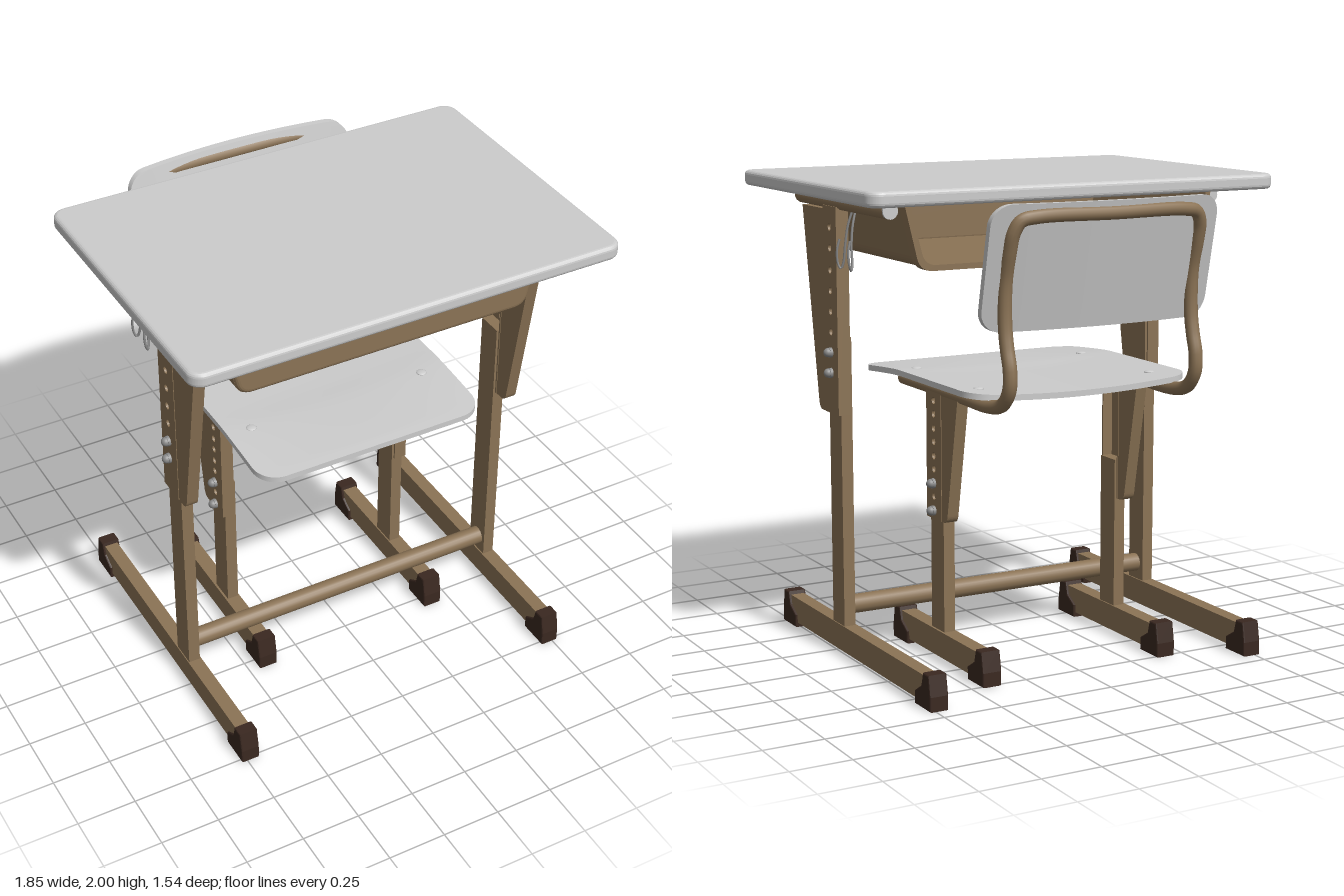
import * as THREE from 'three';

const mat = (color, side = THREE.FrontSide) => new THREE.MeshStandardMaterial({ color, side });
const GREY = mat(0xcccccc), TAN = mat(0x8b7355), DARK = mat(0x3a2820), STEEL = mat(0x8c8c8c);
const V = (x, y, z) => new THREE.Vector3(x, y, z);

export function createModel() {
  const model = new THREE.Group();

  function add(parent, name, geo, material, x = 0, y = 0, z = 0) {
    const m = new THREE.Mesh(geo, material);
    m.name = name;
    m.position.set(x, y, z);
    parent.add(m);
    return m;
  }
  function group(name) {
    const g = new THREE.Group();
    g.name = name;
    model.add(g);
    return g;
  }
  const shapeOf = pts => new THREE.Shape(pts.map(p => new THREE.Vector2(p[0], p[1])));

  // Extrudes a (z, y) outline across x, centred on x = 0
  function sideExtrude(shape, width, bevel = 0) {
    const g = new THREE.ExtrudeGeometry(shape, {
      depth: width - 2 * bevel, bevelEnabled: bevel > 0, bevelSize: bevel, bevelOffset: -bevel,
      bevelThickness: bevel, bevelSegments: 2, curveSegments: 10
    });
    return g.translate(0, 0, bevel - width / 2).rotateY(-Math.PI / 2).translate(0, 0, 0);
  }

  // Path with rounded corners through points
  function roundedPath(pts, r) {
    const path = new THREE.CurvePath();
    let last = pts[0];
    for (let i = 1; i < pts.length - 1; i++) {
      const a = pts[i].clone().add(pts[i - 1].clone().sub(pts[i]).setLength(r));
      const b = pts[i].clone().add(pts[i + 1].clone().sub(pts[i]).setLength(r));
      path.add(new THREE.LineCurve3(last, a));
      path.add(new THREE.QuadraticBezierCurve3(a, pts[i], b));
      last = b;
    }
    path.add(new THREE.LineCurve3(last, pts[pts.length - 1]));
    return path;
  }

  // Round-cornered slab whose vertices are laid onto a curved surface by place(x, t, v)
  function bentSlab(a, b, t, r, place) {
    const g = new THREE.BoxGeometry(2 * a, t, 2 * b, 24, 1, 36);
    const p = g.attributes.position;
    for (let i = 0; i < p.count; i++) {
      const v = b * Math.sin(Math.PI / 2 * p.getZ(i) / b);
      const d = Math.max(0, Math.abs(v) - b + r);
      const w = a - r + Math.sqrt(Math.max(0, r * r - d * d));
      p.setXYZ(i, ...place(p.getX(i) * w / a, p.getY(i), v));
    }
    g.computeVertexNormals();
    return g;
  }

  // Floor beam with a stepped rubber cap at each end
  function foot(parent, x, zFront, zBack, width) {
    add(parent, 'footBeam', new THREE.BoxGeometry(width - 0.02, 0.11, zFront - zBack - 0.06), TAN, x, 0.075, (zFront + zBack) / 2);
    const cap = [[0, 0], [0, 0.06], [0.015, 0.145], [0.065, 0.145], [0.08, 0.09], [0.137, 0.055], [0.137, 0]];
    for (const [z, d] of [[zFront, -1], [zBack, 1]])
      add(parent, 'footCap', sideExtrude(shapeOf(cap.map(([u, y]) => [z + d * u, y])), width, 0.006), DARK, x);
  }

  // Telescopic leg: inner post, perforated channel open to the inside, gusset and bolts
  function leg(parent, s, o) {
    const { x, z, y0, y1, postTop } = o, w = 0.13, depth = 0.055;
    add(parent, 'innerPost', new THREE.BoxGeometry(0.05, postTop - 0.12, 0.113), TAN, s * (x - 0.012), (postTop + 0.12) / 2, z);
    const plate = shapeOf([[z - w / 2, y0], [z + w / 2, y0], [z + w / 2, y1], [z - w / 2, y1]]);
    for (const y of o.holes) {
      const hole = new THREE.Path();
      hole.absarc(z, y, 0.015, 0, Math.PI * 2, true);
      plate.holes.push(hole);
    }
    add(parent, 'channelPlate', sideExtrude(plate, 0.01), TAN, s * (x + depth / 2 - 0.005));
    for (const d of [-1, 1])
      add(parent, 'channelFlange', new THREE.BoxGeometry(depth, y1 - y0, 0.008), TAN, s * x, (y0 + y1) / 2, z + d * (w / 2 - 0.004));
    // tapered gusset with a rounded lower corner
    const e = z + o.dir * w / 2, f = o.dir;
    const g = new THREE.Shape();
    g.moveTo(e, o.gTop);
    g.lineTo(e + f * o.gWide, o.gTop);
    g.lineTo(e + f * (o.gNarrow + 0.006), y0 + 0.035);
    g.quadraticCurveTo(e + f * o.gNarrow, y0, e + f * (o.gNarrow - 0.03), y0);
    g.lineTo(e, y0);
    add(parent, 'gusset', sideExtrude(g, 0.05), TAN, s * x);
    for (const y of o.bolts) {
      add(parent, 'boltWasher', new THREE.CylinderGeometry(0.021, 0.021, 0.012, 16).rotateZ(Math.PI / 2), STEEL, s * (x + depth / 2 + 0.006), y, z);
      add(parent, 'boltDome', new THREE.SphereGeometry(0.019, 16, 12), STEEL, s * (x + depth / 2 + 0.015), y, z);
    }
  }

  // ---- Desk ----
  const desk = group('desk');
  const hx = 0.925, z0 = -0.52, z1 = 0.77, r = 0.06, bv = 0.018;
  const top = new THREE.Shape();
  const corners = [[hx - r, z0 + r, -Math.PI / 2], [hx - r, z1 - r, 0], [-hx + r, z1 - r, Math.PI / 2], [-hx + r, z0 + r, Math.PI]];
  for (const [cx, cz, a] of corners) top.absarc(cx, -cz, r, -a, -a - Math.PI / 2, true);
  const topGeo = new THREE.ExtrudeGeometry(top, {
    depth: 0.063 - 2 * bv, bevelSize: bv, bevelOffset: -bv, bevelThickness: bv, bevelSegments: 4, curveSegments: 8
  }).rotateX(-Math.PI / 2);
  add(desk, 'tabletop', topGeo, GREY, 0, 1.937 + bv, 0);

  const rim = roundedPath([V(-0.742, 1.904, -0.3), V(-0.742, 1.904, 0.602), V(0.742, 1.904, 0.602), V(0.742, 1.904, -0.3)], 0.09);
  add(desk, 'supportTube', new THREE.TubeGeometry(rim, 160, 0.034, 14), TAN);

  // Book tray, open toward the seat
  const trayOutline = (top, bottom, y, rr) => {
    const s = new THREE.Shape();
    s.moveTo(-top, 1.935);
    s.lineTo(-bottom - 0.012, y + rr);
    s.quadraticCurveTo(-bottom, y, -bottom + rr, y);
    s.lineTo(bottom - rr, y);
    s.quadraticCurveTo(bottom, y, bottom + 0.012, y + rr);
    s.lineTo(top, 1.935);
    return s;
  };
  const trayShell = grow => {
    const s = trayOutline(0.7 + grow, 0.637 + grow, 1.677 - grow, 0.06);
    const inner = trayOutline(0.685, 0.622, 1.692, 0.05).getPoints(8).reverse();
    inner.forEach(p => s.lineTo(p.x, p.y));
    return s;
  };
  const flat = depth => ({ depth, bevelEnabled: false, curveSegments: 8 });
  add(desk, 'trayShell', new THREE.ExtrudeGeometry(trayShell(0), flat(0.85)), TAN, 0, 0, -0.31);
  add(desk, 'trayBackRim', new THREE.ExtrudeGeometry(trayShell(0.008), flat(0.05)), TAN, 0, 0, -0.36);
  add(desk, 'trayFrontWall', new THREE.ExtrudeGeometry(trayOutline(0.7, 0.637, 1.677, 0.06), {
    depth: 0.015, bevelSize: 0.02, bevelOffset: -0.02, bevelThickness: 0.02, bevelSegments: 4, curveSegments: 8
  }), TAN, 0, 0, 0.52);

  add(desk, 'crossBar', new THREE.CylinderGeometry(0.04, 0.04, 1.42, 20).rotateZ(Math.PI / 2), TAN, 0, 0.205, 0.2);

  for (const s of [-1, 1]) {
    foot(desk, s * 0.735, 0.768, -0.68, 0.08);
    leg(desk, s, {
      x: 0.748, z: 0.197, y0: 1.03, y1: 1.885, postTop: 1.35, dir: 1, gTop: 1.87, gWide: 0.208, gNarrow: 0.065,
      holes: [1.37, 1.455, 1.54, 1.625, 1.715, 1.8], bolts: [1.2, 1.285]
    });
    add(desk, 'tubePlug', new THREE.CylinderGeometry(0.033, 0.033, 0.012, 16).rotateX(Math.PI / 2), GREY, s * 0.742, 1.904, -0.302);
    // Double wire bag hook
    const half = [[0.745, 1.89, 0.012], [0.765, 1.82, 0.022], [0.775, 1.74, 0.03], [0.778, 1.67, 0.042],
      [0.786, 1.645, 0.05], [0.796, 1.665, 0.056], [0.8, 1.72, 0.054], [0.79, 1.765, 0.05]];
    for (const d of [-1, 1]) {
      const curve = new THREE.CatmullRomCurve3(half.map(([x, y, z]) => V(s * x, y, 0.015 + d * z)));
      add(desk, 'bagHook', new THREE.TubeGeometry(curve, 40, 0.005, 6), STEEL);
    }
  }

  // ---- Chair ----
  const chair = group('chair');
  const side = [[0.425, 1.145, 0.24], [0.425, 1.145, 0], [0.425, 1.145, -0.3], [0.425, 1.146, -0.54], [0.425, 1.172, -0.63],
    [0.425, 1.235, -0.68], [0.425, 1.31, -0.684], [0.425, 1.39, -0.662], [0.425, 1.46, -0.648], [0.425, 1.56, -0.643],
    [0.425, 1.66, -0.651], [0.425, 1.77, -0.683], [0.42, 1.84, -0.704], [0.395, 1.886, -0.718], [0.33, 1.9, -0.728]];
  const right = side.map(p => V(...p)), left = side.map(([x, y, z]) => V(-x, y, z)).reverse();
  const frame = new THREE.CatmullRomCurve3([...right, V(0, 1.902, -0.742), ...left]);
  add(chair, 'chairTube', new THREE.TubeGeometry(frame, 260, 0.028, 12), TAN);

  // Dished seat with a drooping front edge
  const seatY = (x, z) => {
    const dish = 0.026 * (1 - (x / 0.51) ** 2) * Math.min(1, Math.max(0, (0.45 - z) / 0.4));
    return 1.19 - dish - 0.03 * (Math.max(0, z - 0.12) / 0.37) ** 1.2;
  };
  add(chair, 'seat', bentSlab(0.51, 0.512, 0.024, 0.1, (x, t, v) => [x, seatY(x, v - 0.022) + t, v - 0.022]), GREY);

  // Backrest curved around the sitter and leaning back
  const backZ = (x, y) => -0.585 - 0.22 * (y - 1.45) - 0.05 * (1 - (x / 0.51) ** 2);
  add(chair, 'backrest', bentSlab(0.512, 0.25, 0.028, 0.085, (x, t, v) => [x, 1.7 - v, backZ(x, 1.7 - v) + t]), GREY);

  for (const s of [-1, 1]) {
    foot(chair, s * 0.413, 0.31, -0.515, 0.085);
    leg(chair, s, {
      x: 0.423, z: -0.083, y0: 0.605, y1: 1.145, postTop: 0.775, dir: -1, gTop: 1.13, gWide: 0.142, gNarrow: 0.045,
      holes: [0.7, 0.815, 0.87, 0.93, 0.985, 1.045, 1.1], bolts: [0.64, 0.755]
    });
    add(chair, 'tubeEnd', new THREE.CylinderGeometry(0.027, 0.027, 0.01, 12).rotateX(Math.PI / 2), TAN, s * 0.425, 1.145, 0.238);
    for (const z of [0.17, -0.38])
      add(chair, 'seatRivet', new THREE.SphereGeometry(0.022, 14, 8).scale(1, 0.3, 1), GREY, s * 0.4, seatY(0.4, z) + 0.012, z);
    add(chair, 'backRivet', new THREE.SphereGeometry(0.022, 14, 8).scale(1, 1, 0.3), GREY, s * 0.425, 1.56, backZ(0.425, 1.56) + 0.014);
  }
  return model;
}
